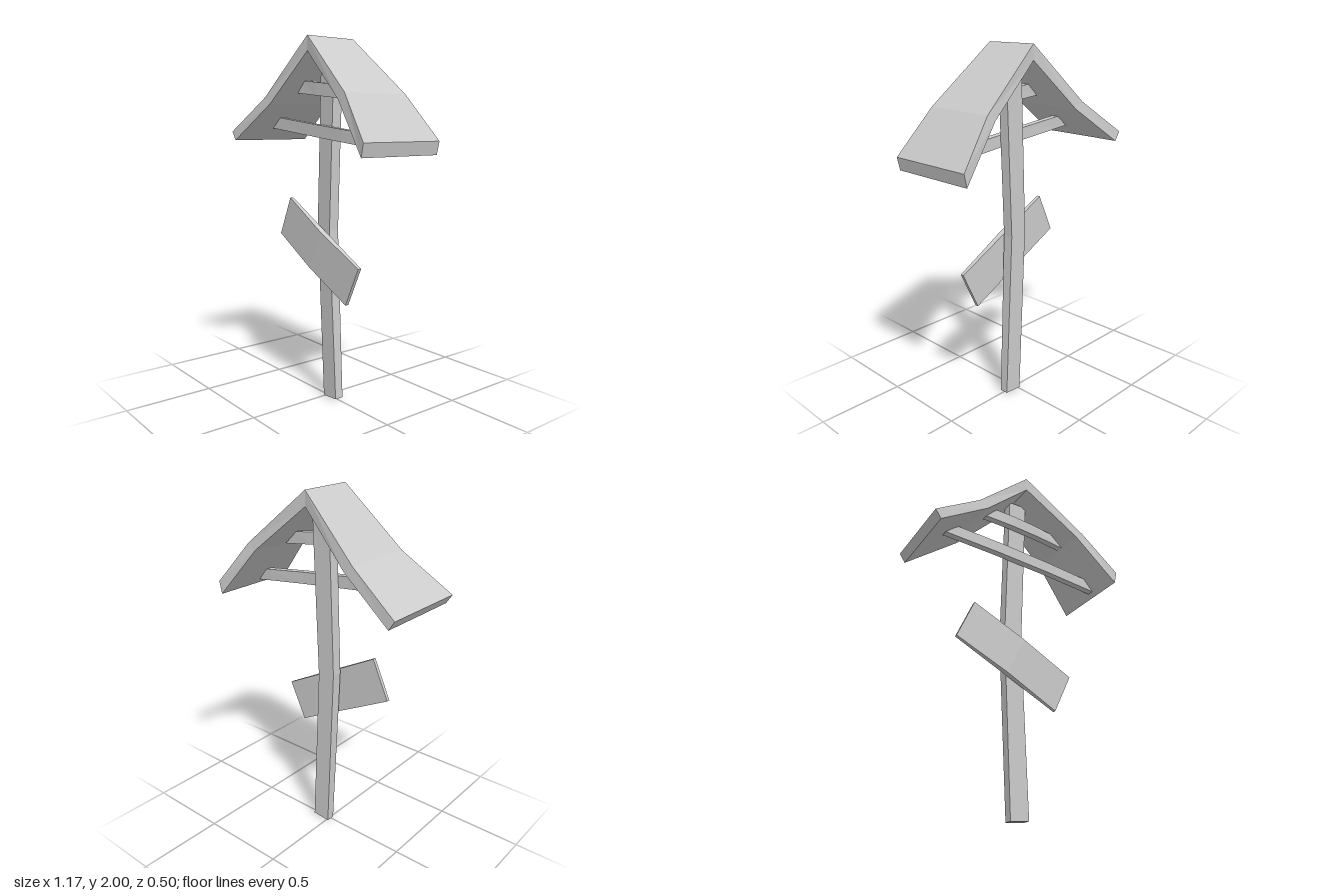
import * as THREE from 'three';

// Bent plank: each section is [topX, topY, bottomX, bottomY, zFront, zBack],
// listed so that "top" lies on the left of the direction of travel.
function plank(name, sections) {
  const pos = [], index = [];
  for (const [tx, ty, bx, by, zf, zb] of sections) {
    pos.push(tx, ty, zf, tx, ty, zb, bx, by, zb, bx, by, zf);
  }
  for (let i = 0; i < sections.length - 1; i++) {
    for (let j = 0; j < 4; j++) {
      const a = i * 4 + j, b = i * 4 + (j + 1) % 4;
      index.push(a, a + 4, b, b, a + 4, b + 4);
    }
  }
  const e = (sections.length - 1) * 4;
  index.push(0, 1, 2, 0, 2, 3, e, e + 2, e + 1, e, e + 3, e + 2);
  const indexed = new THREE.BufferGeometry();
  indexed.setAttribute('position', new THREE.Float32BufferAttribute(pos, 3));
  indexed.setIndex(index);
  const geometry = indexed.toNonIndexed();
  geometry.computeVertexNormals();
  const material = new THREE.MeshStandardMaterial({ color: 0xcccccc, flatShading: true });
  const mesh = new THREE.Mesh(geometry, material);
  mesh.name = name;
  return mesh;
}

// Roof brace in three lengths, its middle pushed slightly forward
function brace(name, start, end) {
  const sections = [0, 0.33, 0.67, 1].map((t) => {
    const push = t > 0 && t < 1 ? 0.01 : 0;
    const edge = start.map((v, k) => v + (end[k] - v) * t);
    return [...edge, 0.06 + push, 0.02 + push];
  });
  return plank(name, sections);
}

export function createModel() {
  const model = new THREE.Group();
  model.name = 'signpost';

  // Crooked post, from top to foot
  model.add(plank('post', [
    [0.09, 1.888, -0.02, 1.892, 0.03, -0.03],
    [0.053, 0.97, -0.052, 0.99, 0.03, -0.03],
    [0.097, 0.008, -0.01, 0, 0.02, -0.03],
  ]));

  // Bent gable roof, flaring towards the eaves
  model.add(plank('roof', [
    [-0.59, 1.50, -0.557, 1.45, 0.252, -0.252],
    [-0.31, 1.69, -0.257, 1.655, 0.203, -0.203],
    [0.025, 2.00, 0.025, 1.92, 0.155, -0.155],
    [0.387, 1.695, 0.337, 1.663, 0.203, -0.203],
    [0.583, 1.46, 0.567, 1.39, 0.252, -0.252],
  ]));

  // Slanted braces under the roof
  model.add(brace('upperBrace', [-0.14, 1.78, -0.20, 1.715], [0.25, 1.735, 0.33, 1.66]));
  model.add(brace('lowerBrace', [-0.37, 1.58, -0.445, 1.52], [0.485, 1.487, 0.55, 1.415]));

  // Tilted sign board with a slightly bowed front
  model.add(plank('signBoard', [
    [-0.26, 1.125, -0.36, 0.905, 0.07, 0.05],
    [0.04, 0.965, -0.06, 0.75, 0.085, 0.05],
    [0.342, 0.807, 0.24, 0.593, 0.07, 0.05],
  ]));

  return model;
}
